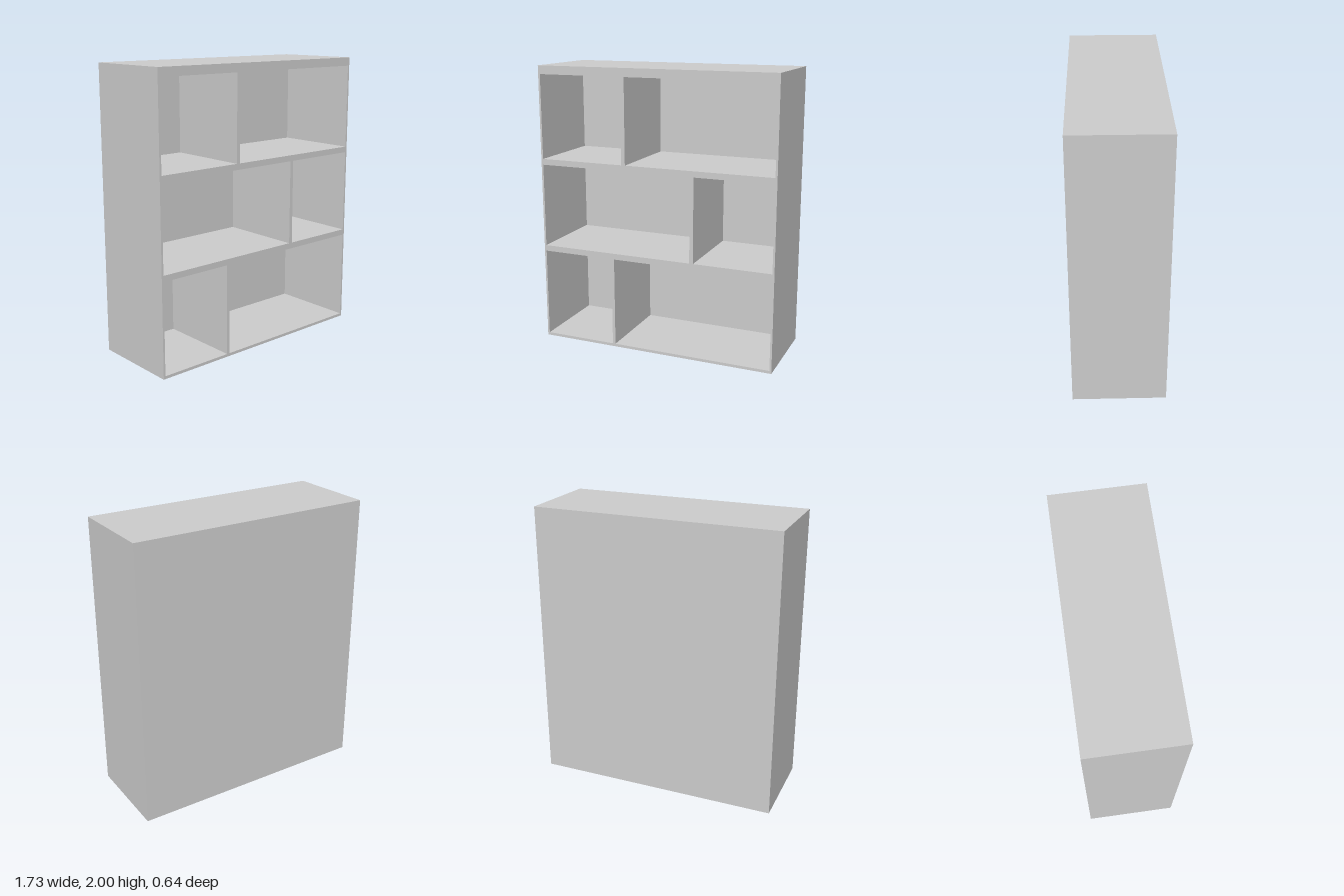
import * as THREE from 'three';

export function createModel() {
  const group = new THREE.Group();
  group.name = 'bookcase';
  const material = new THREE.MeshStandardMaterial({ color: 0xcccccc });

  const W = 0.867, D = 0.322;      // outer half width and half depth
  const inner = 0.853;             // inner half width
  const back = -D + 0.033;         // inside face of the back panel

  // Box given by its limits on each axis
  function panel(name, x0, x1, y0, y1, z0, z1) {
    const mesh = new THREE.Mesh(new THREE.BoxGeometry(x1 - x0, y1 - y0, z1 - z0), material);
    mesh.position.set((x0 + x1) / 2, (y0 + y1) / 2, (z0 + z1) / 2);
    mesh.name = name;
    group.add(mesh);
  }

  // Carcass: sides and back
  panel('leftSide', inner, W, 0, 2, -D, D);
  panel('rightSide', -W, -inner, 0, 2, -D, D);
  panel('backPanel', -inner, inner, 0, 2, -D, back);

  // Horizontal boards, bottom to top
  const boards = [
    ['bottomBoard', 0, 0.02],
    ['lowerShelf', 0.66, 0.702],
    ['upperShelf', 1.3, 1.342],
    ['topBoard', 1.94, 2],
  ];
  for (const [name, y0, y1] of boards) panel(name, -inner, inner, y0, y1, back, D);

  // One upright divider per row, staggered
  const dividers = [
    ['lowerDivider', -0.322, -0.301],
    ['middleDivider', 0.27, 0.297],
    ['upperDivider', -0.233, -0.206],
  ];
  dividers.forEach(([name, x0, x1], i) =>
    panel(name, x0, x1, boards[i][2], boards[i + 1][1], back, D));

  return group;
}
